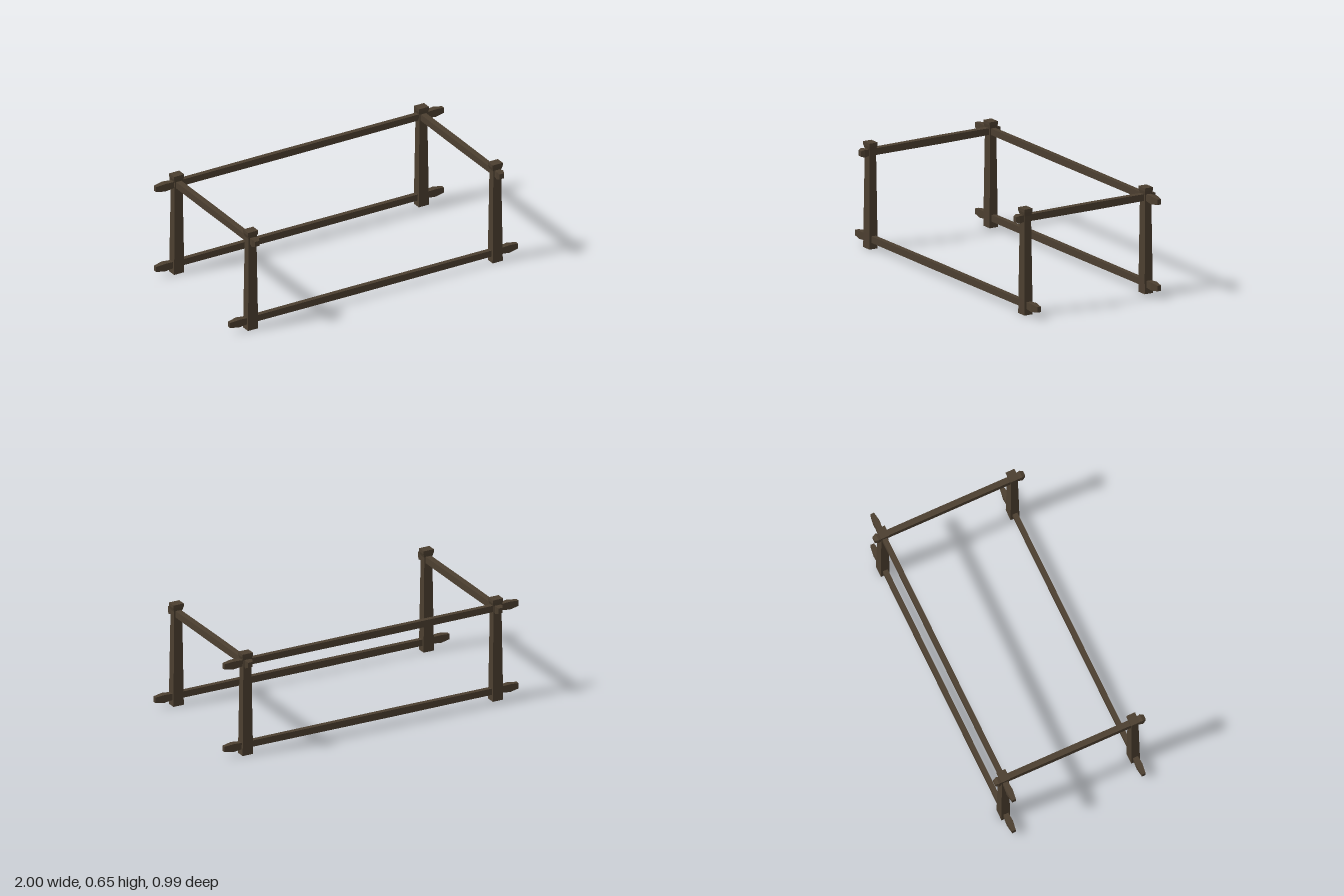
import * as THREE from 'three';

const material = new THREE.MeshStandardMaterial({ color: 0x4c3f30, flatShading: true, roughness: 0.9 });

// Lofts rectangles along +y; each section is [y, halfX, halfZ]
function loft(sections) {
  const ring = ([y, a, b]) => [[-a, y, b], [a, y, b], [a, y, -b], [-a, y, -b]];
  const rings = sections.map(ring);
  const pos = [];
  const quad = (a, b, c, d) => pos.push(...a, ...b, ...c, ...a, ...c, ...d);
  for (let i = 0; i < rings.length - 1; i++) {
    const lo = rings[i], hi = rings[i + 1];
    for (let k = 0; k < 4; k++) {
      const n = (k + 1) % 4;
      quad(lo[k], lo[n], hi[n], hi[k]);
    }
  }
  const first = rings[0], last = rings[rings.length - 1];
  quad(first[3], first[2], first[1], first[0]);
  quad(last[0], last[1], last[2], last[3]);
  const g = new THREE.BufferGeometry();
  g.setAttribute('position', new THREE.Float32BufferAttribute(pos, 3));
  g.computeVertexNormals();
  return g;
}

// Beam with a swollen, chamfered tenon head beyond each post
function beam(half, post, swell, body, head, tip) {
  const end = [[half, ...tip], [swell, ...head], [post, ...body]];
  const wide = [body[0], body[1] + 0.002];
  return loft([
    ...end.map(([t, a, b]) => [-t, a, b]),
    [-half * 0.15, ...wide],
    ...end.reverse().map(([t, a, b]) => [t, a, b]),
  ]);
}

export function createModel() {
  const group = new THREE.Group();
  const add = (name, geometry, x, y, z) => {
    const mesh = new THREE.Mesh(geometry, material);
    mesh.name = name;
    mesh.position.set(x, y, z);
    group.add(mesh);
  };
  const postX = 0.85, frontZ = 0.418, backZ = -0.433, lowY = 0.06, highY = 0.594;

  // Tapered posts with a flared cap
  const post = loft([
    [0, 0.035, 0.0285], [0.1, 0.034, 0.028], [0.61, 0.027, 0.0225],
    [0.636, 0.035, 0.0285], [0.655, 0.035, 0.0285],
  ]);
  for (const [side, x] of [['left', postX], ['right', -postX]]) {
    add(side + 'FrontPost', post, x, 0, frontZ);
    add(side + 'BackPost', post, x, 0, backZ);
  }

  // Long rails: low at front and back, high at the back only
  const longRail = beam(1, 0.875, 0.94, [0.015, 0.02], [0.0195, 0.025], [0.012, 0.017])
    .rotateX(Math.PI / 2).rotateY(Math.PI / 2);
  add('frontLowerRail', longRail, 0, lowY, frontZ);
  add('backLowerRail', longRail, 0, lowY, backZ);
  add('backUpperRail', longRail, 0, highY, backZ);

  // Short upper rails joining front and back posts
  const sideRail = beam(0.493, 0.447, 0.472, [0.0185, 0.0205], [0.0235, 0.025], [0.015, 0.0165])
    .rotateX(Math.PI / 2);
  add('leftSideRail', sideRail, postX, highY, 0);
  add('rightSideRail', sideRail, -postX, highY, 0);

  return group;
}
